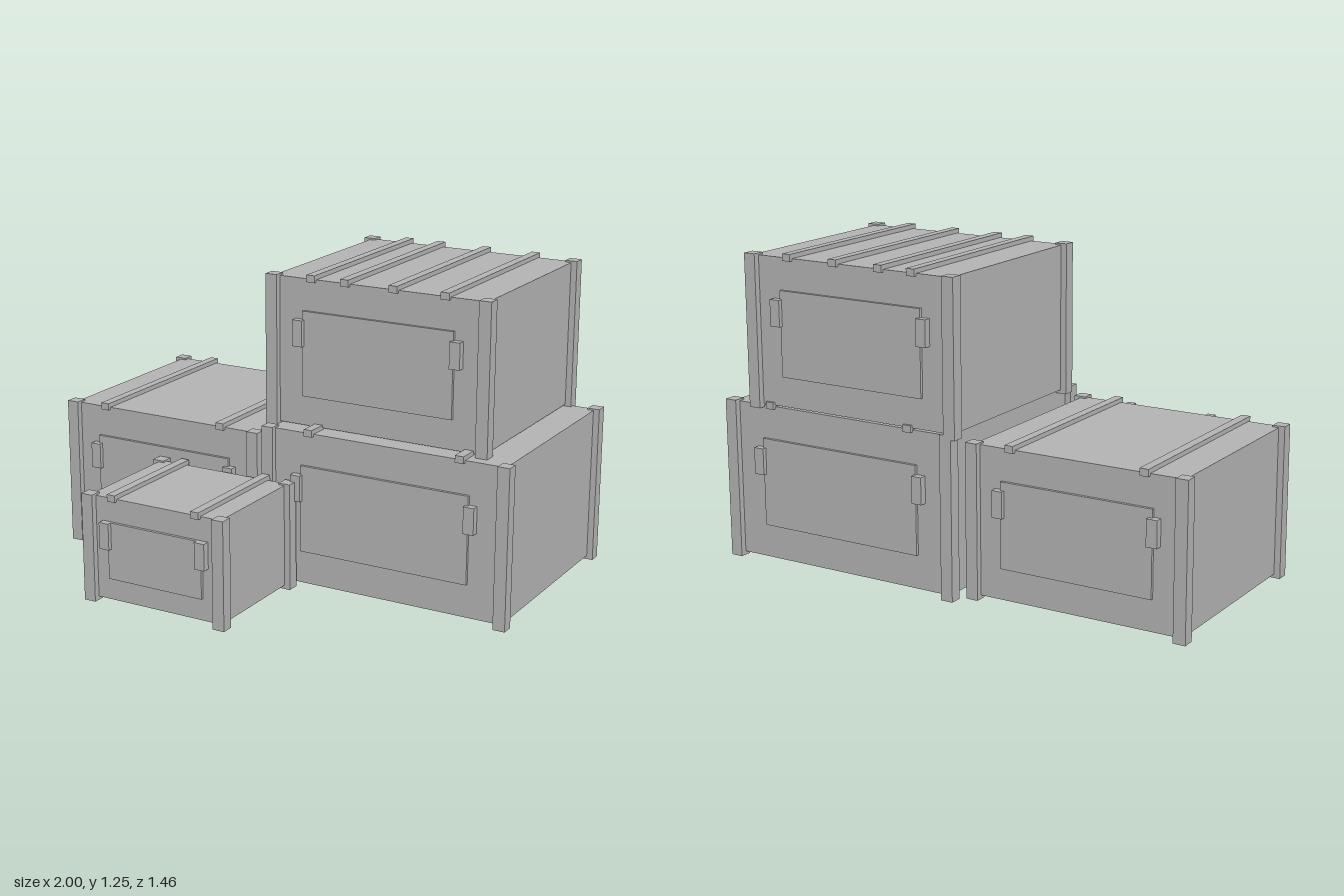
import * as THREE from 'three';

const POST = 0.05;   // corner post thickness
const INSET = 0.025; // body set back from the posts

function addBox(group, material, name, [x0, x1], [y0, y1], [z0, z1]) {
  const mesh = new THREE.Mesh(new THREE.BoxGeometry(x1 - x0, y1 - y0, z1 - z0), material);
  mesh.position.set((x0 + x1) / 2, (y0 + y1) / 2, (z0 + z1) / 2);
  mesh.name = name;
  group.add(mesh);
}

// One crate: x, y, z are the outer ranges of its corner posts
function makeCrate(material, { name, x, y, z, strips, door, latches, latchY }) {
  const crate = new THREE.Group();
  crate.name = name;
  const bodyZ = [z[0] + INSET, z[1] - INSET];
  const bodyTop = y[1] - 0.007;

  addBox(crate, material, 'body', [x[0] + INSET, x[1] - INSET], [y[0] + 0.015, bodyTop], bodyZ);

  // Four corner posts
  for (const px of [x[0], x[1] - POST])
    for (const pz of [z[0], z[1] - POST])
      addBox(crate, material, 'cornerPost', [px, px + POST], y, [pz, pz + POST]);

  // Slats across the lid, slightly overhanging front and back
  for (const s of strips)
    addBox(crate, material, 'lidSlat', [s - 0.018, s + 0.018], [bodyTop - 0.01, bodyTop + 0.018],
      [bodyZ[0] - 0.014, bodyZ[1] + 0.014]);

  // Raised panel with two latches on the front and the back
  for (const side of [1, -1]) {
    const face = side > 0 ? bodyZ[1] : bodyZ[0];
    const depth = (d) => (side > 0 ? [face - 0.01, face + d] : [face - d, face + 0.01]);
    addBox(crate, material, 'panel', door.x, door.y, depth(0.012));
    for (const l of latches)
      addBox(crate, material, 'latch', [l - 0.022, l + 0.022], latchY, depth(0.029));
  }
  return crate;
}

export function createModel() {
  const model = new THREE.Group();
  model.name = 'crateStack';
  const grey = new THREE.MeshStandardMaterial({ color: 0xb2b2b2 });
  grey.name = 'grey';

  const crates = [
    { name: 'leftCrate', x: [-1, -0.08], y: [0, 0.61], z: [-0.655, 0.2],
      strips: [-0.82, -0.263], door: { x: [-0.855, -0.225], y: [0.14, 0.478] },
      latches: [-0.861, -0.219], latchY: [0.34, 0.445] },
    { name: 'lowerCrate', x: [-0.06, 1], y: [0, 0.645], z: [-0.72, 0.2],
      strips: [0.143, 0.79], door: { x: [0.108, 0.83], y: [0.15, 0.505] },
      latches: [0.094, 0.84], latchY: [0.36, 0.467] },
    { name: 'upperCrate', x: [-0.08, 0.876], y: [0.63, 1.238], z: [-0.723, 0.13],
      strips: [0.113, 0.26, 0.467, 0.683], door: { x: [0.075, 0.72], y: [0.765, 1.105] },
      latches: [0.062, 0.734], latchY: [0.965, 1.07] },
    { name: 'smallCrate', x: [-0.55, 0.092], y: [0, 0.438], z: [0.19, 0.725],
      strips: [-0.42, -0.04], door: { x: [-0.44, -0.015], y: [0.104, 0.335] },
      latches: [-0.447, -0.012], latchY: [0.228, 0.335] },
  ];
  for (const c of crates) model.add(makeCrate(grey, c));
  return model;
}
